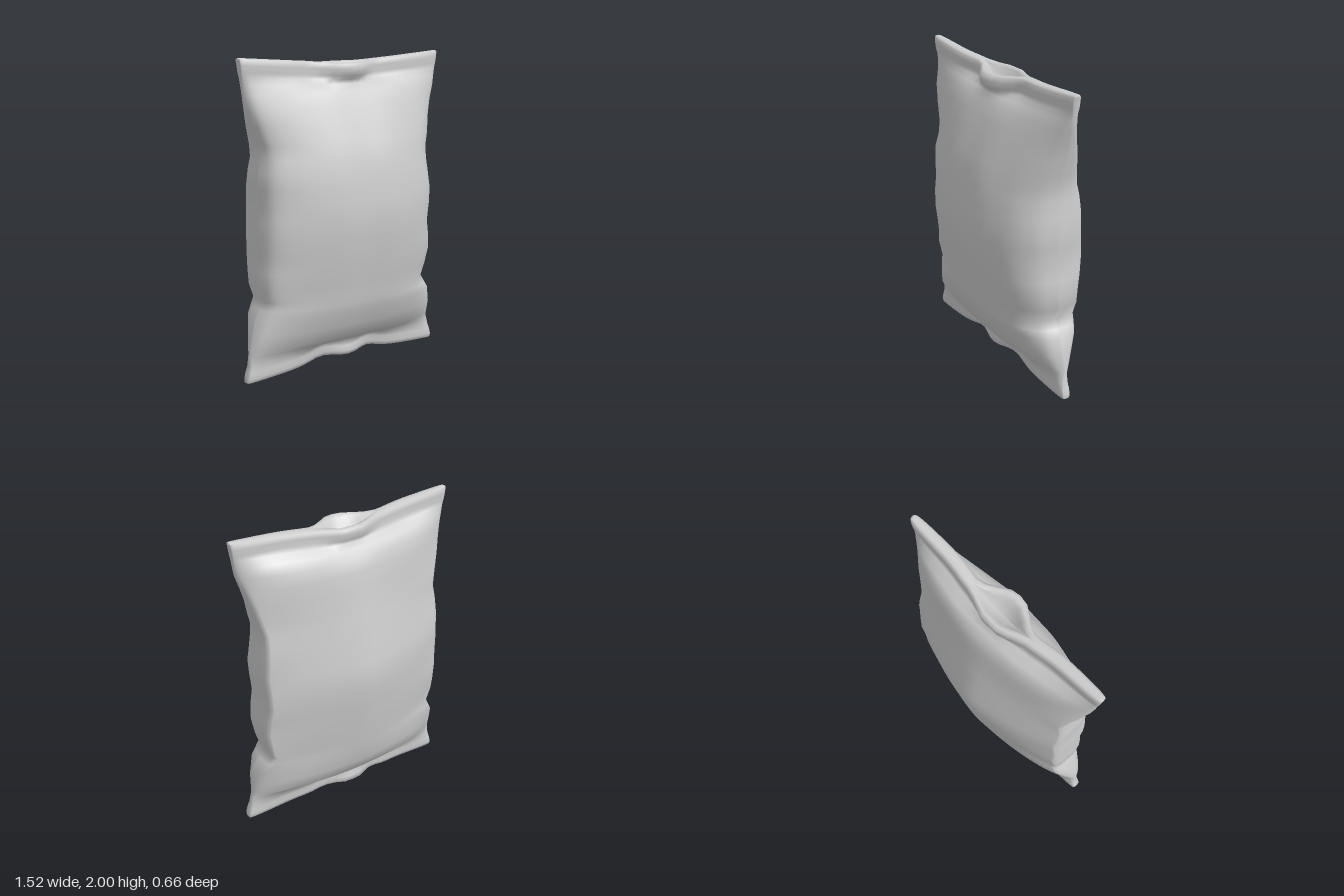
import * as THREE from 'three';

const COLS = 80;

// Each row: centre height, half width, seal half thickness, front and back pillow depth,
// front and back pucker at the middle of the seal, amount of seal curve, depth of the mouth.
const bottomSeal = [
  [0.05, 0.73, 0, 0, 0, 0, 0, -1, 0],
  [0.045, 0.742, 0.025, 0, 0, 0.01, 0.02, -1, 0],
  [0.05, 0.748, 0.042, 0, 0, 0.02, 0.05, -1, 0],
  [0.075, 0.748, 0.05, 0, 0, 0.02, 0.08, -1, 0],
  [0.11, 0.738, 0.048, 0, 0, 0.015, 0.08, -0.9, 0],
  [0.14, 0.727, 0.035, 0.02, 0.03, 0, 0.05, -0.7, 0],
];
// Each row: height, half width, front depth, back depth.
const pillow = [
  [0.17, 0.722, 0.08, 0.11], [0.21, 0.715, 0.13, 0.17], [0.3, 0.7, 0.185, 0.21],
  [0.41, 0.675, 0.225, 0.235], [0.46, 0.645, 0.24, 0.245], [0.51, 0.618, 0.245, 0.255],
  [0.6, 0.645, 0.262, 0.27], [0.7, 0.65, 0.28, 0.285], [0.8, 0.65, 0.295, 0.3],
  [0.9, 0.643, 0.308, 0.313], [1.02, 0.64, 0.318, 0.322], [1.12, 0.643, 0.308, 0.308],
  [1.22, 0.645, 0.297, 0.288], [1.32, 0.635, 0.28, 0.27], [1.4, 0.622, 0.26, 0.254],
  [1.48, 0.64, 0.235, 0.238], [1.6, 0.682, 0.187, 0.215], [1.7, 0.708, 0.145, 0.2],
  [1.78, 0.727, 0.105, 0.175],
].map(([y, w, f, b]) => [y, w, 0.012, f, b, 0, 0, 0, 0]);
const topSeal = [
  [1.825, 0.738, 0.02, 0.06, 0.12, 0.01, 0, 0.5, 0],
  [1.85, 0.745, 0.03, 0.015, 0.03, 0.045, 0.04, 0.9, 0],
  [1.875, 0.75, 0.042, 0, 0, 0.08, 0.075, 1, 0],
  [1.915, 0.755, 0.046, 0, 0, 0.085, 0.08, 1, 0],
  [1.945, 0.76, 0.042, 0, 0, 0.08, 0.08, 1, 0],
  [1.955, 0.762, 0.026, 0, 0, 0.07, 0.075, 1, 0],
  [1.957, 0.755, 0.004, 0, 0, 0.06, 0.07, 1, 0.015],
  [1.957, 0.75, 0, 0, 0, 0.045, 0.055, 1, 0.06],
  [1.957, 0.745, 0, 0, 0, 0, 0, 1, 0.1],
];

// Front cross-section: uneven bulge that peaks right of the middle, as [u, share of depth]
const frontCurve = new THREE.SplineCurve([
  [-1, 0], [-0.94, 0.37], [-0.72, 0.64], [-0.32, 0.9], [0, 0.96], [0.27, 1],
  [0.5, 0.93], [0.77, 0.74], [0.94, 0.41], [1, 0],
].map(([u, d]) => new THREE.Vector2(u, d)));
const frontPoints = frontCurve.getPoints(180);
function frontShape(u) {
  const i = Math.max(1, frontPoints.findIndex((p) => p.x >= u - 1e-9));
  const p = frontPoints[i - 1], q = frontPoints[i];
  return THREE.MathUtils.mapLinear(u, p.x, q.x, p.y, q.y);
}

// One point on the cross-section of a row
function bagPoint([y, w, t, f, b, mf, mb, curve, mouth], angle) {
  const u = Math.cos(angle), sn = Math.sin(angle);
  const s = Math.abs(sn) < 1e-6 ? 0 : Math.abs(sn);
  const front = sn >= 0;
  // gathered sides
  const crinkle = Math.min(1, (f + b) * 2) * u ** 4 * Math.sin(y * 17 + u * 2);
  const x = u * (w + 0.008 * crinkle);
  // the back panel folds into side gussets, which close towards both seals
  const gusset = THREE.MathUtils.smoothstep(y, 0.12, 0.5) * (1 - THREE.MathUtils.smoothstep(y, 1.4, 1.82));
  const folded = (1 - 0.52 * Math.abs(u) ** 1.4) * Math.min(1, s / 0.2) ** 0.7;
  const body = front ? f * frontShape(u) : b * THREE.MathUtils.lerp(s ** 1.2, folded, gusset);
  // seals pucker in the middle and wave gently along their length
  const pucker = Math.max(0, Math.min(1, 1.3 * (1 - Math.abs(x) / 0.21)));
  const depth = t * s ** 0.3 + body + (front ? mf : mb) * pucker;
  const wave = -0.025 * Math.abs(curve) * Math.exp(-(((Math.abs(x) - 0.22) / 0.14) ** 2));
  const lift = 0.045 * curve * THREE.MathUtils.clamp((Math.abs(x) - 0.12) / 0.62, 0, 1);
  const notch = curve < 0 ? 0.02 * Math.exp(-(((Math.abs(x) - 0.18) / 0.1) ** 2)) : 0;
  return [x, y + lift + notch - mouth * pucker, (front ? depth : -depth) + wave + 0.01 * crinkle];
}

// Closed rings joined into a smooth skin
function loft(rows) {
  const positions = [], index = [];
  rows.forEach((row, i) => {
    for (let j = 0; j < COLS; j++) {
      positions.push(...bagPoint(row, (j / COLS) * Math.PI * 2));
      if (i === rows.length - 1) continue;
      const a = i * COLS + j, b = i * COLS + (j + 1) % COLS;
      index.push(a, a + COLS, b, b, a + COLS, b + COLS);
    }
  });
  const geometry = new THREE.BufferGeometry();
  geometry.setAttribute('position', new THREE.Float32BufferAttribute(positions, 3));
  geometry.setIndex(index);
  geometry.computeVertexNormals();
  return geometry;
}

export function createModel() {
  const film = new THREE.MeshStandardMaterial({ color: 0xcccccc, side: THREE.DoubleSide });
  film.name = 'grey film';
  const group = new THREE.Group();
  group.name = 'pillowBag';

  // Bottom seal, filled body and puckered top seal in one skin
  const bag = new THREE.Mesh(loft([...bottomSeal, ...pillow, ...topSeal]), film);
  bag.name = 'bag';
  group.add(bag);
  return group;
}
